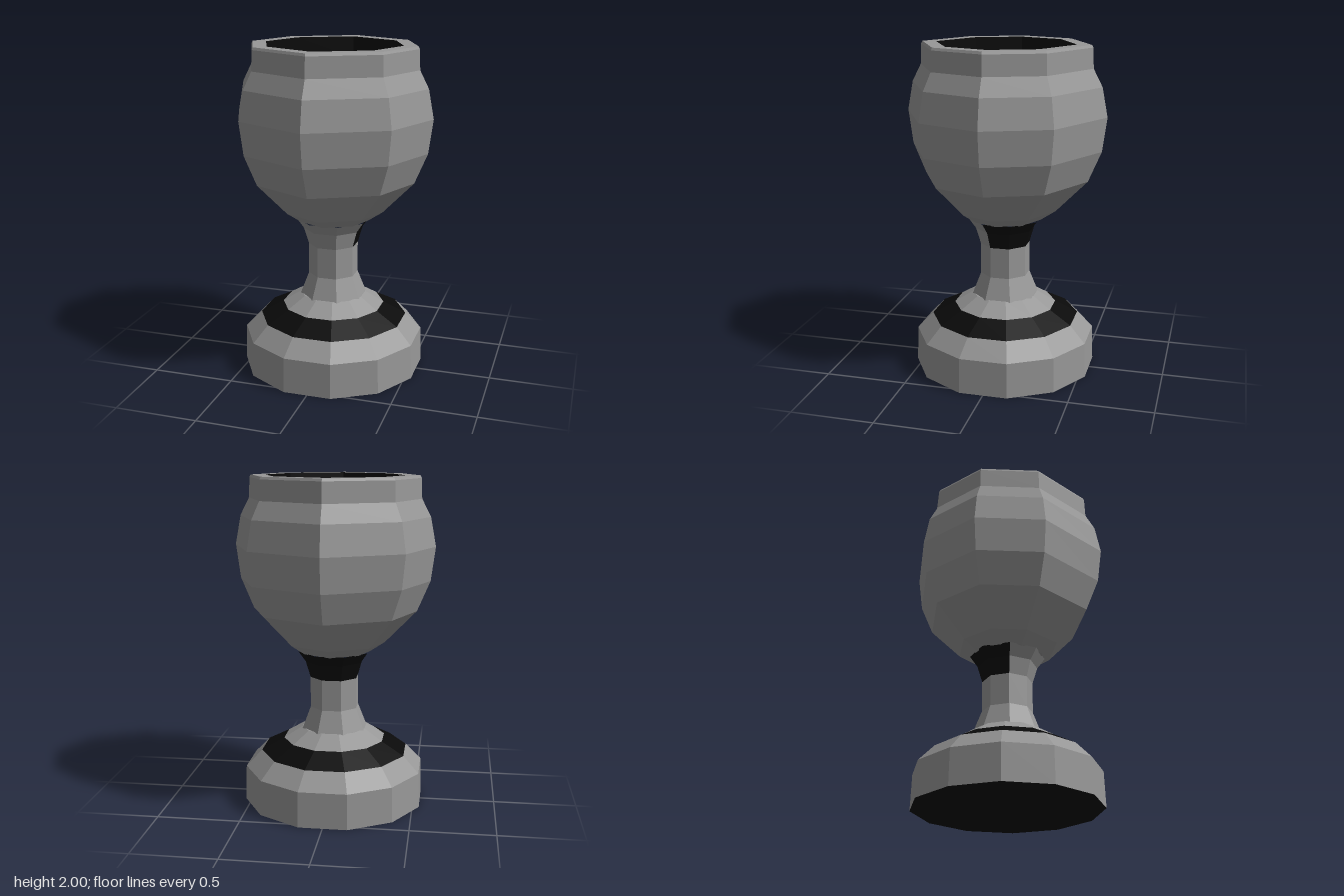
import * as THREE from 'three';

const STEP = Math.PI / 4;

export function createModel() {
  const group = new THREE.Group();
  group.name = 'goblet';
  const stone = new THREE.MeshStandardMaterial({ color: 0x979797, flatShading: true });
  stone.name = 'grey stone';
  const dark = new THREE.MeshStandardMaterial({ color: 0x0a0a0a, flatShading: true });
  dark.name = 'black';

  // Faceted turned part from [radius, height] pairs; profiles run up for outward faces
  function turned(name, material, profile, sides, start, sweep = Math.PI * 2) {
    const points = profile.map(([r, y]) => new THREE.Vector2(r, y));
    const mesh = new THREE.Mesh(new THREE.LatheGeometry(points, sides, start, sweep), material);
    mesh.name = name;
    group.add(mesh);
    return mesh;
  }

  // Slightly uneven octagon: diagonal corners lean toward the sides
  function skewOctagon(mesh) {
    const p = mesh.geometry.attributes.position;
    for (let i = 0; i < p.count; i++) {
      const x = p.getX(i), z = p.getZ(i);
      const diagonal = Math.abs(x) > 0.01 && Math.abs(z) > 0.01;
      p.setX(i, x * (diagonal ? 1.05 : 1));
      p.setZ(i, z * (diagonal ? 0.905 : 1.012));
    }
    mesh.geometry.computeVertexNormals();
  }

  // Foot: twelve sides, flats facing the axes
  const twelfth = Math.PI / 12;
  turned('footUnderside', dark, [[0, 0], [0.56, 0]], 12, twelfth);
  turned('foot', stone, [[0.56, 0], [0.553, 0.215], [0.455, 0.315]], 12, twelfth);
  turned('footBand', dark, [[0.455, 0.315], [0.315, 0.39]], 12, twelfth);
  turned('footTop', stone, [[0.315, 0.39], [0.2, 0.46], [0, 0.46]], 12, twelfth);

  // Stem: eight sides, flats facing the axes
  turned('stem', stone, [[0.205, 0.455], [0.152, 0.59], [0.152, 0.78]], 8, STEP / 2);

  // Collar: three front facets grey, the rest black
  const collar = [[0.152, 0.78], [0.182, 0.88], [0.228, 0.945]];
  turned('collarFront', stone, collar, 3, -1.5 * STEP, 3 * STEP);
  turned('collarBack', dark, collar, 5, 1.5 * STEP, 5 * STEP);

  // Bowl: eight sides, corners on the axes
  skewOctagon(turned('bowl', stone, [
    [0, 0.94], [0.22, 0.94], [0.31, 1.0], [0.5, 1.195], [0.578, 1.38], [0.605, 1.585],
    [0.572, 1.76], [0.518, 1.865], [0.513, 1.985], [0.505, 2], [0.42, 2],
  ], 8, 0));
  skewOctagon(turned('bowlInside', dark, [
    [0.42, 2], [0.42, 1.87], [0.48, 1.74], [0.51, 1.585], [0.48, 1.39],
    [0.4, 1.22], [0.22, 1.06], [0, 1.03],
  ], 8, 0));

  return group;
}
